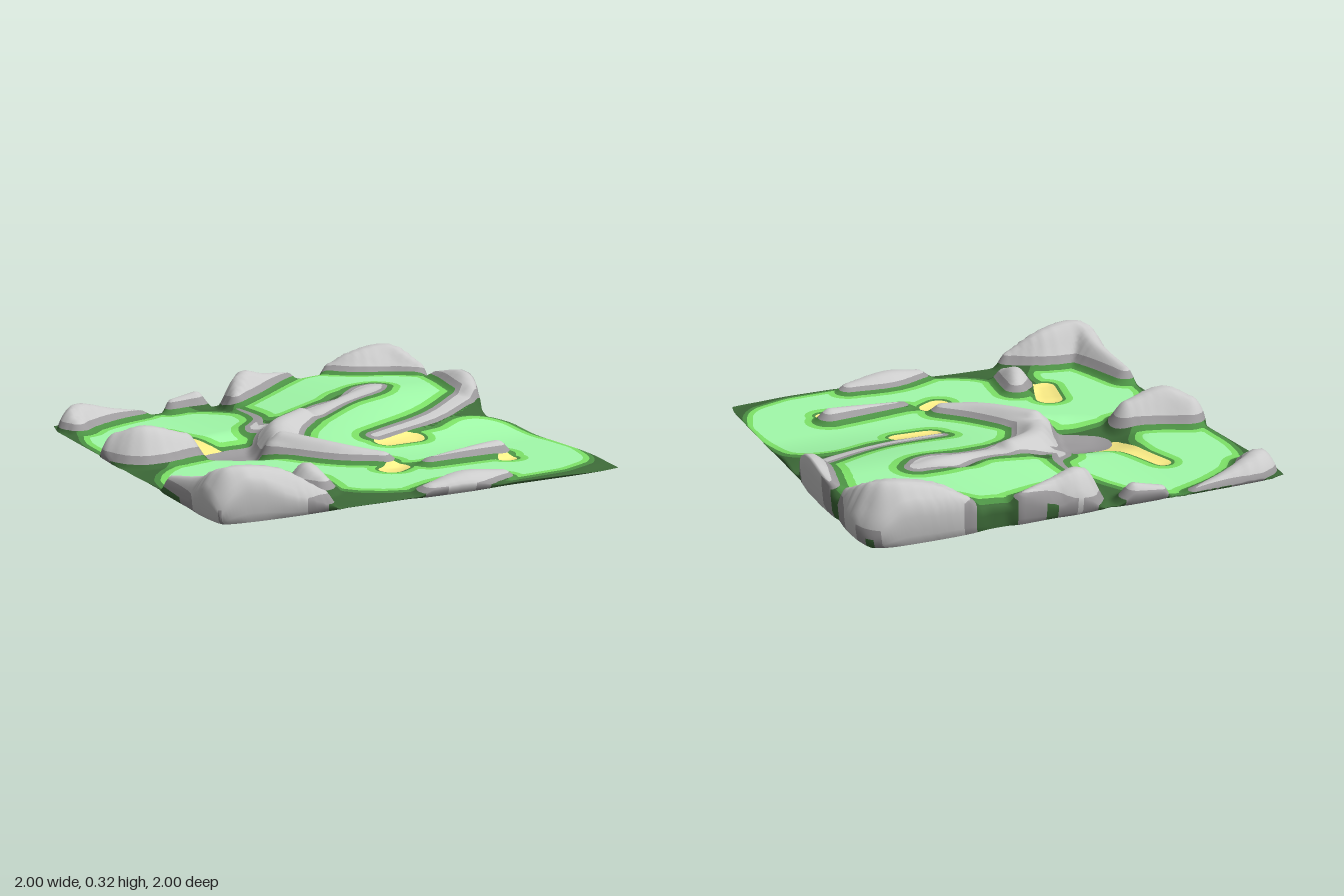
import * as THREE from 'three';

const N = 150;        // grid cells per side
const SKIRT = 0.96;   // beyond this the sheet folds down into the side walls
const { lerp, clamp } = THREE.MathUtils;
const ease = (a, b, v) => { const t = clamp((v - a) / (b - a), 0, 1); return t * t * (3 - 2 * t); };

// A smooth path through nodes of [x, z, radius]; steep is the rise per unit of radius
function path(steep, ...nodes) {
  const curve = new THREE.CatmullRomCurve3(nodes.map((n) => new THREE.Vector3(...n)));
  return { steep, nodes: curve.getPoints((nodes.length - 1) * 4).map((p) => p.toArray()) };
}
const lane = (...nodes) => path(0, ...nodes.map(([x, z]) => [x, z, 0.16]));

const leftLoop = lane([-.77, -.34], [-.75, -.57], [-.6, -.74], [-.42, -.75], [-.3, -.56], [-.3, -.47]);
const upperTrack = lane([.08, -.6], [.3, -.74], [.6, -.72], [.78, -.53], [.77, -.34], [.4, -.14], [.09, .04], [.12, .26], [.6, .27], [.77, .19]);
const lowerTrack = lane([.77, .19], [.78, .68], [.1, .73], [-.13, .67], [-.2, .45], [-.35, .25], [-.6, .21], [-.75, .35], [-.75, .67]);
const fairways = [leftLoop, upperTrack, lowerTrack];

const sands = [
  path(0, [-.55, -.58, .04], [-.51, -.42, .045], [-.46, -.23, .08]),
  path(0, [-.48, .39, .065], [-.54, .57, .055]),
  path(0, [.26, .13, .06], [.39, .13, .06]),
  path(0, [.04, .54, .055], [.09, .51, .055]),
  path(0, [.58, .61, .035], [.6, .61, .035]),
];

const cornerRocks = [
  path(1.4, [-.94, .48, .05], [-.92, .75, .09], [-.91, .92, .14], [-.7, .92, .12], [-.53, .95, .05]),
  path(.85, [.58, -.97, .05], [.7, -.93, .12], [.87, -.9, .15], [.95, -.74, .06]),
  path(1, [-.88, -.78, .06], [-.85, -.88, .11], [-.65, -.94, .06], [-.5, -.97, .03]),
];
const edgeRocks = [
  path(1.1, [-.05, -.8, .05], [.04, -.91, .11], [.16, -.93, .07], [.33, -.98, .03]),
  path(1.2, [-.32, -.97, .05], [-.2, -.96, .06]),
  path(.9, [.98, -.6, .03], [.98, -.34, .08], [.95, -.24, .05]),
  path(1.2, [-.92, -.17, .1], [-.83, -.09, .13], [-.65, -.08, .09]),
  path(.6, [-.02, .96, .06], [.15, .93, .1], [.36, .9, .06]),
];
const bank = path(.05, [.95, -.25, .06], [.6, -.04, .05], [.24, .06, .045]);
const ridges = [
  path(.8, [-.22, .03, .1], [-.06, .29, .08], [.07, .41, .055]),
  path(.5, [-.22, .03, .1], [-.12, -.2, .12], [.05, -.31, .09]),
  path(.1, [.05, -.31, .09], [.3, -.4, .065], [.49, -.47, .09], [.57, -.51, .06]),
  path(0, [-.02, -.3, .06], [-.16, -.36, .05], [-.09, -.48, .02], [-.08, -.72, .008]),
];
const islands = [
  path(1, [.22, .55, .03], [.45, .53, .05], [.59, .52, .06]),
  path(1.1, [-.37, .53, .06], [-.41, .63, .085], [-.4, .73, .055]),
];
const rocks = [...cornerRocks, ...edgeRocks, bank, ...ridges, ...islands];
const basin = path(0, [-.42, -.15, .1], [-.3, -.12, .14]);

// Fairway level climbs towards the back right; the lower rim climbs slightly to the back
const level = (x, z) => .06 + .13 * ease(-.5, .6, x) * ease(.38, -.5, z);
const rim = (z) => .052 - .011 * z;

// Signed distance to a path, with its radius at the nearest place
function nearest({ nodes }, x, z) {
  let best = { d: Infinity };
  for (let i = 0; i + 1 < nodes.length; i++) {
    const [ax, az, ar] = nodes[i], [bx, bz, br] = nodes[i + 1];
    const ex = bx - ax, ez = bz - az;
    const t = clamp(((x - ax) * ex + (z - az) * ez) / (ex * ex + ez * ez), 0, 1);
    const r = lerp(ar, br, t);
    const d = Math.hypot(x - ax - ex * t, z - az - ez * t) - r;
    if (d < best.d) best = { d, r };
  }
  return best;
}
const distance = (paths, x, z) => Math.min(...paths.map((p) => nearest(p, x, z).d));

// One point of the sheet: position, normal (filled later) and zone distances
function samplePoint(u, v) {
  const x = clamp(u / SKIRT, -1, 1), z = clamp(v / SKIRT, -1, 1);
  const e = Math.max(Math.abs(u), Math.abs(v));

  // ground sinks between the fairways and in the sand
  const base = level(x, z);
  const track = distance(fairways, x, z);
  const sand = distance(sands, x, z);
  let y = lerp(base, rim(z), .8 * ease(.02, .18, track)) - .012 * ease(.03, -.04, sand);

  const pit = nearest(basin, x, z).d;
  y = lerp(y, .002, ease(.17, -.09, pit));
  let rock = Infinity;
  for (const p of rocks) {
    const { d, r } = nearest(p, x, z);
    rock = Math.min(rock, d);
    y = lerp(y, Math.max(y, base + p.steep * r), ease(.03, -r * .9, d));
  }
  const stone = Math.min(rock, pit);
  const grass = Math.max(track, .065 - stone, .05 - sand);

  // walls along the border; rocks bulge out past the grass and tuck in at the foot
  y = lerp(y, rim(z), ease(SKIRT, 1, e));
  const inset = lerp(.047, .03 * ease(.98, 1, e), ease(.06, -.05, rock)) * e ** 6;
  const px = x * (1 - inset - .025 * z ** 10);
  const pz = z * (1 - inset - .025 * x ** 10);
  return [px, y, pz, 0, 1, 0, grass, sand, stone, rock];
}

// Keep the part of a polygon where sign * value >= sign * limit
function clip(poly, [field, sign, limit]) {
  const out = [];
  poly.forEach((a, i) => {
    const b = poly[(i + 1) % poly.length];
    const da = sign * (a[field] - limit), db = sign * (b[field] - limit);
    if (da >= 0) out.push(a);
    if ((da >= 0) !== (db >= 0)) {
      const t = da / (da - db);
      out.push(a.map((n, k) => lerp(n, b[k], t)));
    }
  });
  return out;
}

const [GRASS, SAND, STONE, ROCK] = [6, 7, 8, 9];
const open = [[SAND, 1, 0], [STONE, 1, 0]];
const zones = [
  ['fairway', 0xa2fbaa, [...open, [GRASS, -1, 0]]],
  ['fringe', 0x7ee468, [...open, [GRASS, 1, 0], [GRASS, -1, .035]]],
  ['rough', 0x4c9144, [...open, [GRASS, 1, .035], [GRASS, -1, .065]]],
  ['deepRough', 0x3d6a38, [...open, [GRASS, 1, .065]]],
  ['sand', 0xfff088, [[SAND, -1, 0], [STONE, 1, 0]]],
  ['rockFoot', 0x9c9a9c, [[STONE, -1, 0], [ROCK, 1, -.025]]],
  ['rock', 0xcccccc, [[ROCK, -1, -.025]]],
];

export function createModel() {
  const group = new THREE.Group();
  group.name = 'courseTerrain';

  const points = [], index = [];
  for (let i = 0; i <= N; i++)
    for (let j = 0; j <= N; j++) points.push(samplePoint(2 * i / N - 1, 2 * j / N - 1));
  for (let i = 0; i < N; i++)
    for (let j = 0; j < N; j++) {
      const a = i * (N + 1) + j, b = a + 1, c = a + N + 1, d = c + 1;
      index.push(a, b, d, a, d, c);
    }

  // smooth normals shared by all zones
  const sheet = new THREE.BufferGeometry();
  sheet.setAttribute('position', new THREE.Float32BufferAttribute(points.flatMap((p) => p.slice(0, 3)), 3));
  sheet.setIndex(index);
  sheet.computeVertexNormals();
  const n = sheet.attributes.normal;
  points.forEach((p, i) => { p[3] = n.getX(i); p[4] = n.getY(i); p[5] = n.getZ(i); });

  // cut the sheet into one mesh per ground zone
  for (const [name, color, limits] of zones) {
    const position = [], normal = [];
    for (let i = 0; i < index.length; i += 3) {
      let poly = [points[index[i]], points[index[i + 1]], points[index[i + 2]]];
      for (const limit of limits) poly = clip(poly, limit);
      for (let k = 1; k + 1 < poly.length; k++)
        for (const p of [poly[0], poly[k], poly[k + 1]]) {
          position.push(p[0], p[1], p[2]);
          normal.push(p[3], p[4], p[5]);
        }
    }
    const geometry = new THREE.BufferGeometry();
    geometry.setAttribute('position', new THREE.Float32BufferAttribute(position, 3));
    geometry.setAttribute('normal', new THREE.Float32BufferAttribute(normal, 3));
    const mesh = new THREE.Mesh(geometry, new THREE.MeshStandardMaterial({ color, side: THREE.DoubleSide }));
    mesh.name = name;
    group.add(mesh);
  }
  return group;
}
